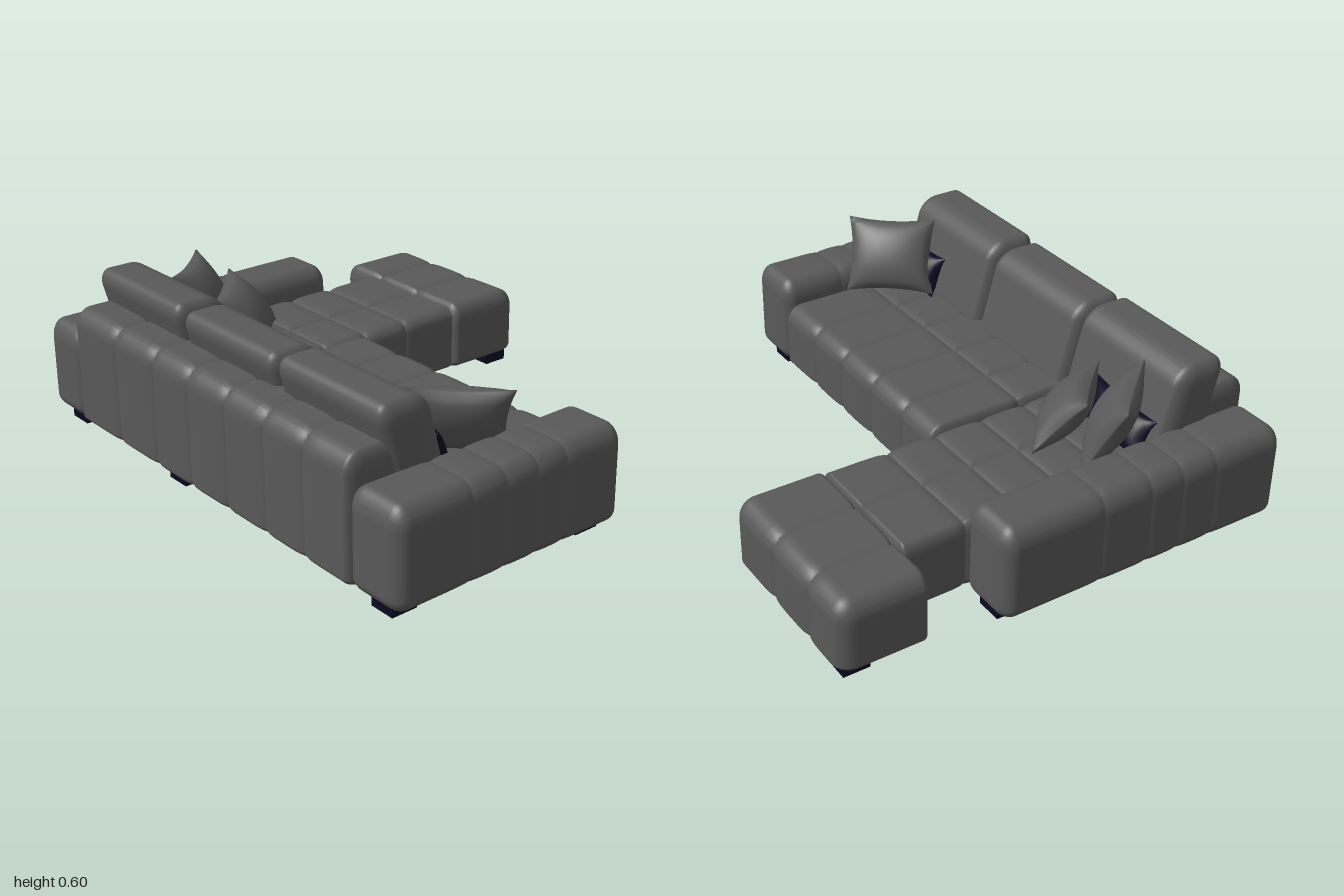
import * as THREE from 'three';
import { mergeVertices } from 'three/addons/utils/BufferGeometryUtils.js';

const fabric = new THREE.MeshStandardMaterial({ color: 0x59595a });
fabric.name = 'charcoalFabric';
const dark = new THREE.MeshStandardMaterial({ color: 0x0b0920 });
dark.name = 'darkNavy';

// Welds a moved box so its normals are smooth
function smooth(geo) {
  geo.deleteAttribute('uv');
  geo.deleteAttribute('normal');
  const g = mergeVertices(geo, 1e-5);
  g.computeVertexNormals();
  return g;
}

// Grid lines along one axis: dense in the rounded ends and beside each seam
function gridLines(lo, hi, rLo, rHi, seams) {
  const s = new Set();
  const add = (v) => { if (v >= lo && v <= hi) s.add(+v.toFixed(4)); };
  for (let i = 0; i <= 6; i++) {
    const f = 1 - Math.tan((1 - i / 6) * Math.PI / 4);
    add(lo + rLo * f);
    add(hi - rHi * f);
  }
  for (const c of seams) for (const d of [-0.045, -0.025, -0.012, -0.005, 0, 0.005, 0.012, 0.025, 0.045]) add(c + d);
  for (let i = 1; i < 10; i++) add(lo + (hi - lo) * i / 10);
  return [...s].sort((a, b) => a - b);
}

// Upholstered block: min and max corners, a [low, high] radius per axis, seams per axis
function upholstered(min, max, radii, seams = [[], [], []], depth = 0.012, shear = 0) {
  const lines = [0, 1, 2].map((a) => gridLines(min[a], max[a], radii[a][0], radii[a][1], seams[a]));
  const n = lines.map((l) => l.length - 1);
  const geo = new THREE.BoxGeometry(1, 1, 1, n[0], n[1], n[2]);
  const pos = geo.attributes.position;
  for (let i = 0; i < pos.count; i++) {
    const p = [0, 1, 2].map((a) => lines[a][Math.round((pos.getComponent(i, a) + 0.5) * n[a])]);
    const inner = p.map((v, a) => Math.min(Math.max(v, min[a] + radii[a][0]), max[a] - radii[a][1]));
    const rad = p.map((v, a) => (v < inner[a] ? radii[a][0] : radii[a][1]));
    const e = p.map((v, a) => (v - inner[a]) / rad[a]);
    const len = Math.hypot(...e) || 1;
    let groove = 0;
    seams.forEach((list, a) => list.forEach((c) => {
      groove = Math.max(groove, Math.exp(-Math.abs(p[a] - c) / 0.018));
    }));
    const q = p.map((v, a) => inner[a] + (e[a] / len) * (rad[a] - (a === 1 && e[a] < 0 ? 0.002 : depth) * groove));
    pos.setXYZ(i, q[0] - shear * (q[1] - min[1]), q[1], q[2]);
  }
  return smooth(geo);
}

// Pillow spanned by its top corners (a, b) and bottom corners (c, d)
function pillow(a, b, c, d, thick) {
  const [A, B, C, D] = [a, b, c, d].map((v) => new THREE.Vector3(...v));
  const mid = A.clone().add(B).add(C).add(D).multiplyScalar(0.25);
  const right = B.clone().sub(A).add(D).sub(C).multiplyScalar(0.25);
  const up = A.clone().sub(C).add(B).sub(D).multiplyScalar(0.25);
  const out = right.clone().cross(up).normalize();
  const geo = new THREE.BoxGeometry(2, 2, 2, 20, 20, 1);
  const pos = geo.attributes.position;
  const v = new THREE.Vector3();
  for (let i = 0; i < pos.count; i++) {
    const x = pos.getX(i), y = pos.getY(i), side = pos.getZ(i);
    const bulge = 0.003 + thick / 2 * Math.pow(Math.max(0, (1 - x * x) * (1 - y * y)), 0.55);
    v.copy(mid)
      .addScaledVector(right, x * (1 - 0.1 * x * x * (1 - y * y)))
      .addScaledVector(up, y * (1 - 0.1 * y * y * (1 - x * x)))
      .addScaledVector(out, side * bulge);
    pos.setXYZ(i, v.x, v.y, v.z);
  }
  return smooth(geo);
}

export function createModel() {
  const sofa = new THREE.Group();
  sofa.name = 'cornerSofa';
  const add = (name, geo, mat = fabric) => {
    const m = new THREE.Mesh(geo, mat);
    m.name = name;
    sofa.add(m);
    return m;
  };
  const base = 0.035;
  const rowSeams = [-0.07, 0.14, 0.35, 0.55];

  // Channelled back frame
  add('backFrame', upholstered([-0.843, base, -0.79], [-0.6, 0.478, 0.78],
    [[0.06, 0.06], [0.03, 0.07], [0.03, 0.03]], [[], [], [-0.52, -0.28, ...rowSeams]]));

  // Arms
  const armR = [[0.05, 0.05], [0.05, 0.075], [0.06, 0.06]];
  add('frontArm', upholstered([-0.838, base, 0.755], [0.093, 0.386, 1], armR, [[-0.55, -0.41, -0.28, -0.16], [], []], 0.006));
  add('backArm', upholstered([-0.838, base, -1], [0.288, 0.384, -0.765], armR, [[-0.55, -0.41, -0.28, -0.09], [], []], 0.006));

  // Main seat and chaise with its end section
  add('mainSeat', upholstered([-0.7, base, -0.278], [0.093, 0.297, 0.765],
    [[0.02, 0.06], [0.03, 0.065], [0.025, 0.02]], [[-0.28], [], rowSeams]));
  add('chaiseSeat', upholstered([-0.7, base, -0.775], [0.518, 0.293, -0.268],
    [[0.02, 0.015], [0.03, 0.05], [0.03, 0.05]], [[-0.28, -0.1, 0.09, 0.28], [], [-0.51]]));
  add('chaiseEnd', upholstered([0.512, base, -0.936], [0.838, 0.3, -0.258],
    [[0.03, 0.065], [0.03, 0.07], [0.06, 0.05]], [[], [], [-0.73, -0.51]]));

  // Leaning back cushions
  [[-0.81, -0.272, 0.597], [-0.27, 0.258, 0.588], [0.26, 0.795, 0.597]].forEach(([z0, z1, top]) =>
    add('backCushion', upholstered([-0.645, 0.26, z0], [-0.445, top, z1],
      [[0.05, 0.07], [0.04, 0.065], [0.04, 0.04]], undefined, 0, 0.27)));

  // Loose pillows: one by each arm, a second one leaning in the corner
  add('frontPillow', pillow([-0.26, 0.545, 0.87], [-0.52, 0.565, 0.64], [-0.18, 0.3, 0.75], [-0.43, 0.3, 0.53], 0.13));
  add('cornerPillow', pillow([-0.52, 0.565, -0.63], [-0.27, 0.545, -0.86], [-0.43, 0.3, -0.53], [-0.18, 0.3, -0.75], 0.13));
  add('leaningPillow', pillow([-0.47, 0.48, -0.46], [-0.23, 0.52, -0.7], [-0.33, 0.3, -0.36], [-0.11, 0.3, -0.58], 0.13));

  // Small dark pillows tucked behind them
  add('darkFrontPillow', pillow([-0.49, 0.44, 0.77], [-0.49, 0.44, 0.53], [-0.43, 0.29, 0.77], [-0.43, 0.29, 0.53], 0.09), dark);
  add('darkCornerPillow', pillow([-0.48, 0.42, -0.44], [-0.46, 0.42, -0.79], [-0.42, 0.29, -0.44], [-0.38, 0.29, -0.79], 0.09), dark);

  // Block feet
  const feet = [[-0.755, 0.88], [0.01, 0.88], [-0.755, -0.21], [0.01, -0.21],
    [-0.755, -0.87], [0.21, -0.87], [0.757, -0.33], [0.757, -0.845]];
  for (const [x, z] of feet) add('foot', new THREE.BoxGeometry(0.096, 0.05, 0.096), dark).position.set(x, 0.025, z);

  return sofa;
}
